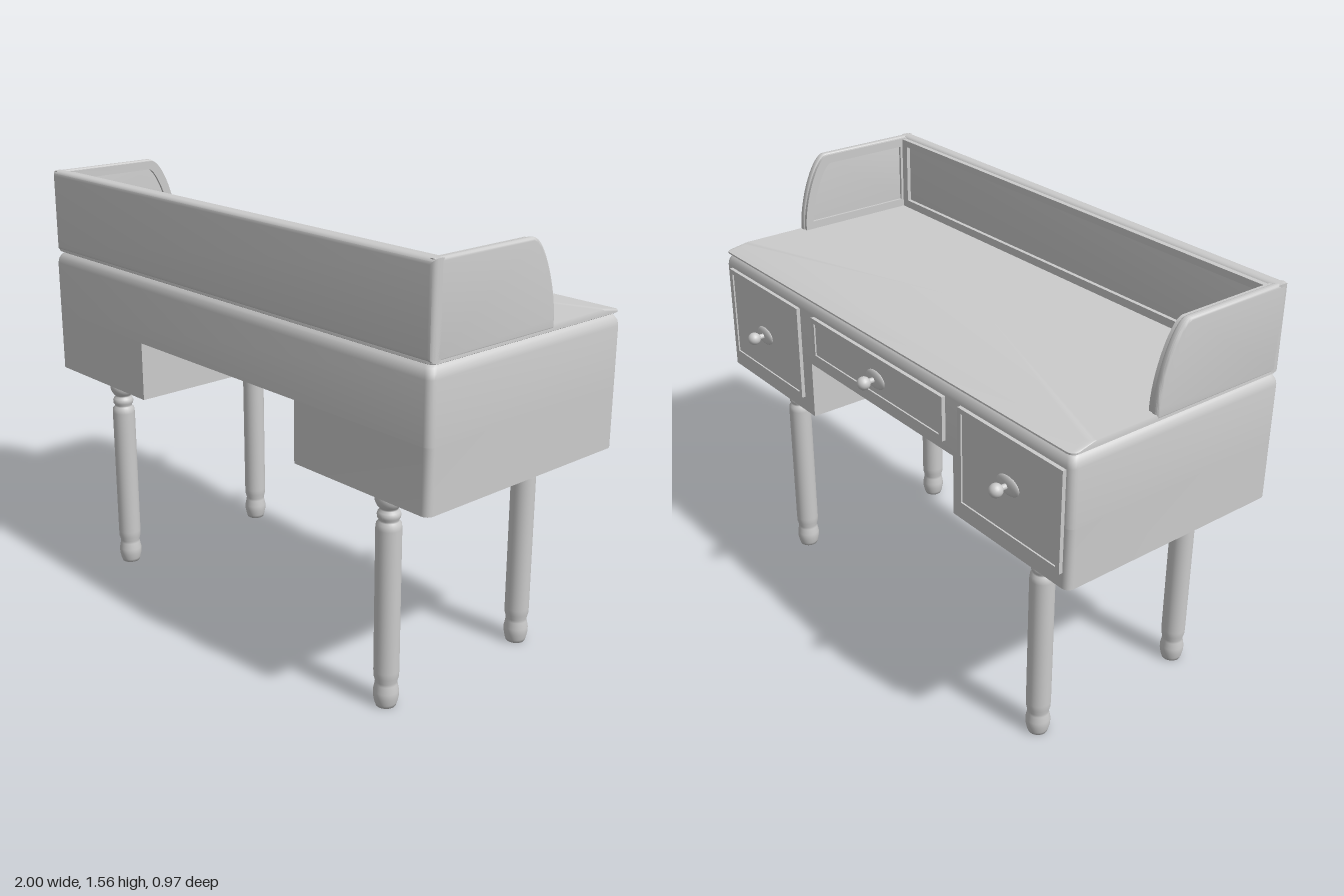
import * as THREE from 'three';
import { toCreasedNormals } from 'three/addons/utils/BufferGeometryUtils.js';

const material = new THREE.MeshStandardMaterial({ color: 0xcccccc });

function add(parent, name, geometry, x = 0, y = 0, z = 0) {
  const mesh = new THREE.Mesh(geometry, material);
  mesh.name = name;
  mesh.position.set(x, y, z);
  parent.add(mesh);
  return mesh;
}

// Stack of rounded rectangles. radii: corners (+x-z), (-x-z), (-x+z), (+x+z).
// rings: [inset, y, extra inset on the -z edge]
function loft(x0, x1, z0, z1, radii, rings) {
  const steps = 4;
  const loops = rings.map(([inset, y, drawerSide = 0]) => {
    const loop = [];
    const corners = [[x1, z0, -1, 1], [x0, z0, 1, 1], [x0, z1, 1, -1], [x1, z1, -1, -1]];
    corners.forEach(([x, z, sx, sz], k) => {
      const r = radii[k];
      for (let i = 0; i <= (r > 0 ? steps : 0); i++) {
        const a = (k + i / steps) * Math.PI / 2;
        loop.push([
          x + sx * (r + inset) + r * Math.cos(a), y,
          z + sz * (r + inset + (sz > 0 ? drawerSide : 0)) - r * Math.sin(a)]);
      }
    });
    return loop;
  });
  const out = [];
  const n = loops[0].length;
  const centre = (l) => [(x0 + x1) / 2, l[0][1], (z0 + z1) / 2];
  const bottom = loops[0], top = loops[loops.length - 1];
  for (let i = 0; i < n; i++) {
    const j = (i + 1) % n;
    for (let k = 0; k + 1 < loops.length; k++) {
      const a = loops[k], b = loops[k + 1];
      out.push(...a[i], ...a[j], ...b[j], ...a[i], ...b[j], ...b[i]);
    }
    out.push(...centre(top), ...top[i], ...top[j]);
    out.push(...centre(bottom), ...bottom[j], ...bottom[i]);
  }
  const g = new THREE.BufferGeometry();
  g.setAttribute('position', new THREE.Float32BufferAttribute(out, 3));
  return toCreasedNormals(g, 0.6);
}

function rectangle(x0, x1, y0, y1, Type = THREE.Shape) {
  const s = new Type();
  s.moveTo(x0, y0);
  s.lineTo(x1, y0);
  s.lineTo(x1, y1);
  s.lineTo(x0, y1);
  s.closePath();
  return s;
}

// Extrusion whose overall size, bevel included, equals the outline and depth
function plate(shape, depth, bevel = 0) {
  const g = new THREE.ExtrudeGeometry(shape, {
    depth: depth - 2 * bevel, curveSegments: 14,
    bevelEnabled: bevel > 0, bevelSize: bevel, bevelThickness: bevel,
    bevelOffset: -bevel, bevelSegments: 3,
  });
  g.translate(0, 0, bevel);
  return toCreasedNormals(g, 0.6);
}

// Curved outline of the side gallery in (z, y), shrunk by m
function galleryOutline(m, base, Type = THREE.Shape) {
  const s = new Type();
  const front = -0.066 + m, top = 1.557 - m, back = 0.472 - 2 * m;
  s.moveTo(back, base);
  s.lineTo(back, top);
  s.lineTo(0.05 + m * 0.4, top);
  s.bezierCurveTo(0.0 + m, top, front + 0.004, 1.40, front, 1.29);
  s.lineTo(front, base);
  s.closePath();
  return s;
}

export function createModel() {
  const desk = new THREE.Group();
  desk.name = 'desk';

  // Cabinet: upper case with softened top edge, and two pedestals
  const r = 0.025;
  add(desk, 'upperCase', loft(-1, 1, -0.405, 0.485, [r, r, r, r],
    [[0, 1.0], [0, 1.205], [0.003, 1.222], [0.011, 1.237], [0.022, 1.246]]));
  add(desk, 'rightPedestal', loft(-1, -0.44, -0.405, 0.485, [0, r, r, 0], [[0, 0.783], [0, 1.0]]));
  add(desk, 'leftPedestal', loft(0.405, 1, -0.405, 0.485, [r, 0, 0, r], [[0, 0.783], [0, 1.0]]));

  // Writing top, sloping down along the drawer side
  add(desk, 'writingTop', loft(-0.995, 0.995, -0.403, 0.475, [r, r, r, r],
    [[0.02, 1.24], [0, 1.25], [0, 1.256], [0.004, 1.27, 0.068]]));

  // Long gallery panel with a recessed inner field
  const gallery = new THREE.Group();
  gallery.name = 'gallery';
  desk.add(gallery);
  add(gallery, 'longPanel', plate(rectangle(-0.995, 0.995, 1.253, 1.557), 0.055, 0.018), 0, 0, 0.425);
  const frame = rectangle(-0.97, 0.97, 1.255, 1.55);
  frame.holes.push(rectangle(-0.925, 0.925, 1.3, 1.525, THREE.Path));
  add(gallery, 'longPanelFrame', plate(frame, 0.035), 0, 0, 0.41);

  // Curved gallery ends, mirrored
  const sideFrame = galleryOutline(0.004, 1.255);
  sideFrame.holes.push(galleryOutline(0.036, 1.3, THREE.Path));
  const endPlate = plate(galleryOutline(0, 1.253), 0.03, 0.01).rotateY(-Math.PI / 2).translate(0.995, 0, 0);
  const endFrame = plate(sideFrame, 0.025).rotateY(-Math.PI / 2).translate(0.98, 0, 0);
  for (const s of [1, -1]) {
    const side = s > 0 ? 'left' : 'right';
    add(gallery, side + 'EndPanel', endPlate).scale.x = s;
    add(gallery, side + 'EndFrame', endFrame).scale.x = s;
  }

  // Drawers: raised front, knob and oval plate (x0, x1, y0, y1, knob x, knob y)
  const knobProfile = [[0.013, 0], [0.01, 0.012], [0.01, 0.035]].map(([a, b]) => new THREE.Vector2(a, b));
  for (let i = 0; i <= 12; i++) {
    const a = -1.15 + (Math.PI / 2 + 1.15) * i / 12;
    knobProfile.push(new THREE.Vector2(Math.max(0, 0.024 * Math.cos(a)), 0.054 + 0.024 * Math.sin(a)));
  }
  const knob = new THREE.LatheGeometry(knobProfile, 20).rotateX(-Math.PI / 2);
  const oval = new THREE.SphereGeometry(1, 24, 12).scale(0.055, 0.034, 0.012);
  const drawers = [
    ['rightDrawer', -0.975, -0.48, 0.84, 1.2, -0.725, 1.03],
    ['centreDrawer', -0.4, 0.37, 1.04, 1.2, -0.02, 1.11],
    ['leftDrawer', 0.465, 0.95, 0.84, 1.2, 0.72, 1.0],
  ];
  for (const [name, x0, x1, y0, y1, kx, ky] of drawers) {
    const drawer = new THREE.Group();
    drawer.name = name;
    desk.add(drawer);
    const rim = rectangle(x0, x1, y0, y1);
    rim.holes.push(rectangle(x0 + 0.018, x1 - 0.018, y0 + 0.018, y1 - 0.018, THREE.Path));
    add(drawer, 'drawerRim', plate(rim, 0.03), 0, 0, -0.419);
    add(drawer, 'drawerPanel', plate(rectangle(x0 + 0.01, x1 - 0.01, y0 + 0.01, y1 - 0.01), 0.03), 0, 0, -0.413);
    add(drawer, 'knobPlate', oval, kx, ky, -0.412);
    add(drawer, 'knob', knob, kx, ky, -0.407);
  }

  // Turned legs: foot, shaft, collar and ball
  const legProfile = [
    [0, 0], [0.034, 0], [0.038, 0.012], [0.043, 0.035], [0.043, 0.055], [0.038, 0.08], [0.037, 0.09],
    [0.042, 0.108], [0.043, 0.13], [0.043, 0.635], [0.041, 0.652], [0.034, 0.66], [0.033, 0.666],
    [0.038, 0.674], [0.039, 0.684], [0.036, 0.693], [0.03, 0.7],
  ].map(([a, b]) => new THREE.Vector2(a, b));
  for (let i = 0; i <= 14; i++) {
    const a = -0.88 + (Math.PI / 2 + 0.88) * i / 14;
    legProfile.push(new THREE.Vector2(Math.max(0, 0.047 * Math.cos(a)), 0.741 + 0.047 * Math.sin(a)));
  }
  const leg = new THREE.LatheGeometry(legProfile, 28);
  for (const x of [-0.742, 0.735]) {
    for (const z of [-0.275, 0.378]) {
      add(desk, (x > 0 ? 'left' : 'right') + (z > 0 ? 'Front' : 'Back') + 'Leg', leg, x, 0, z);
    }
  }
  return desk;
}
